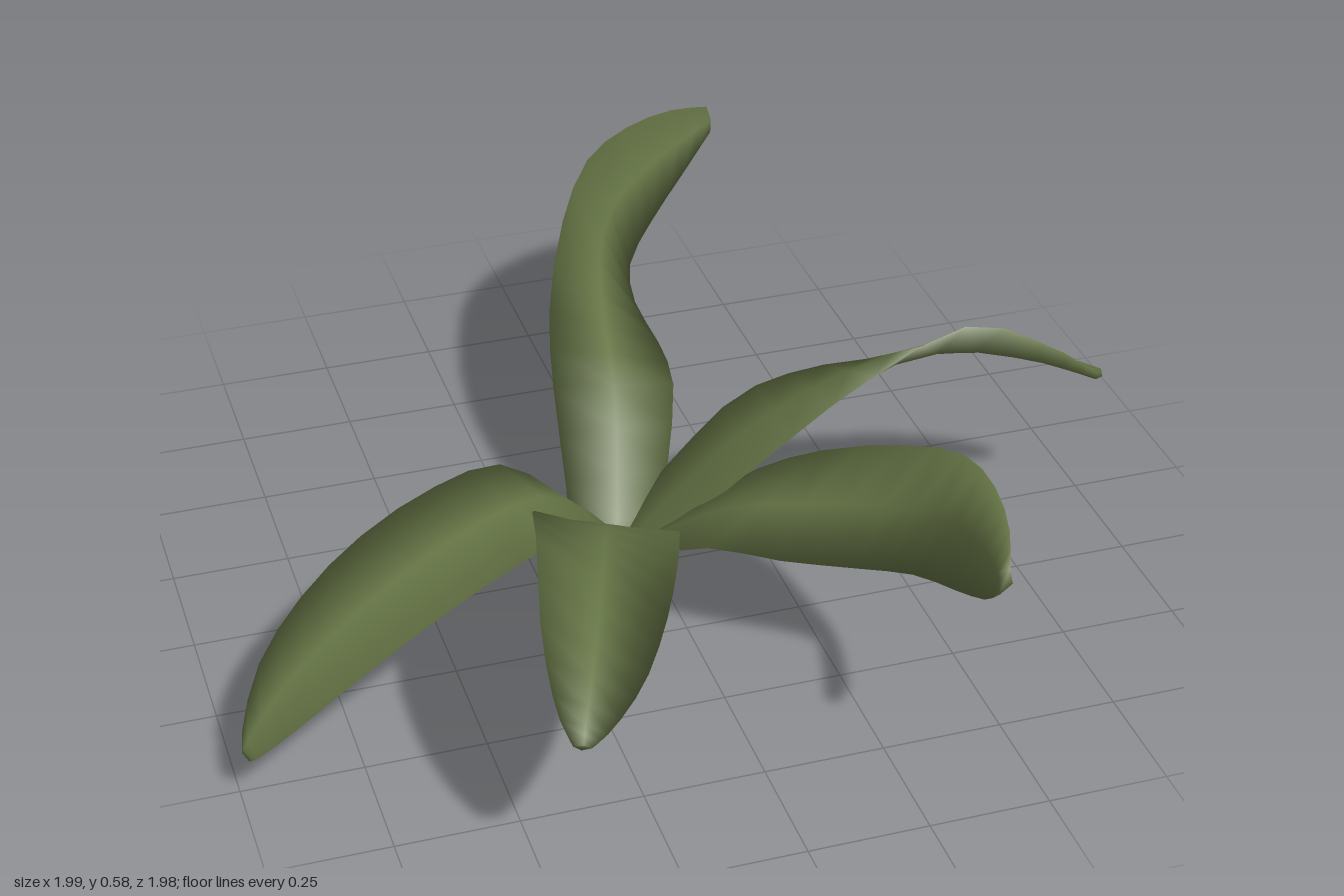
import * as THREE from 'three';

// Point where all the leaves grow from
const ROOT = new THREE.Vector3(-0.075, 0, -0.02);

// Each row holds the two leaf edges, [x, y, z, x, y, z], from root to tip
const TILTED = [
  [-0.075, 0, -0.115, -0.075, 0, 0.075],
  [0.09, 0.16, -0.14, 0.06, 0.165, 0.10],
  [0.25, 0.305, -0.138, 0.22, 0.325, 0.14],
  [0.42, 0.35, -0.125, 0.42, 0.48, 0.16],
  [0.63, 0.358, -0.09, 0.65, 0.57, 0.155],
  [0.83, 0.36, -0.035, 0.84, 0.48, 0.15],
  [0.95, 0.35, 0.03, 0.95, 0.39, 0.125],
  [0.99, 0.345, 0.065, 0.99, 0.35, 0.10],
];
const TWISTED = [
  [-0.17, 0, -0.02, 0.02, 0, -0.02],
  [-0.145, 0.13, -0.16, 0.08, 0.14, -0.14],
  [-0.125, 0.28, -0.32, 0.145, 0.25, -0.30],
  [-0.09, 0.38, -0.47, 0.16, 0.265, -0.46],
  [0, 0.49, -0.67, 0.155, 0.28, -0.62],
  [0.10, 0.56, -0.81, 0.18, 0.31, -0.74],
  [0.22, 0.58, -0.90, 0.265, 0.355, -0.845],
  [0.35, 0.577, -0.96, 0.365, 0.42, -0.925],
  [0.445, 0.56, -0.985, 0.45, 0.50, -0.97],
];
const ARCHED = [
  [-0.03, 0, 0.06, -0.12, 0, -0.10],
  [-0.10, 0.17, 0.13, -0.19, 0.16, -0.09],
  [-0.21, 0.27, 0.215, -0.32, 0.29, -0.045],
  [-0.37, 0.29, 0.315, -0.48, 0.32, 0.04],
  [-0.55, 0.28, 0.42, -0.66, 0.30, 0.14],
  [-0.74, 0.225, 0.50, -0.81, 0.255, 0.25],
  [-0.88, 0.155, 0.535, -0.92, 0.19, 0.355],
  [-0.965, 0.10, 0.535, -0.98, 0.12, 0.465],
  [-0.98, 0.09, 0.525, -0.985, 0.10, 0.49],
];

// Closed fleshy blade: each section is edge, top of midrib, edge, underside of midrib
function bladeGeometry(rows) {
  const edge = (k) => new THREE.CatmullRomCurve3(
    rows.map((r) => new THREE.Vector3(r[k], r[k + 1], r[k + 2]).sub(ROOT)));
  const a = edge(0), b = edge(3);
  const along = 16, halfThickness = 0.013, sag = 0.04;
  const position = [], index = [];
  for (let i = 0; i <= along; i++) {
    const t = i / along;
    const p = a.getPoint(t), q = b.getPoint(t);
    const chord = q.clone().sub(p);
    const tangent = a.getTangent(t).add(b.getTangent(t));
    const up = chord.clone().cross(tangent).normalize();
    const drop = sag * chord.length() * Math.min(1, 4 * t);
    const rib = p.clone().lerp(q, 0.5).addScaledVector(up, -drop);
    const top = rib.clone().addScaledVector(up, halfThickness);
    const under = rib.clone().addScaledVector(up, -halfThickness);
    for (const v of [p, top, q, under]) position.push(v.x, Math.max(0, v.y), v.z);
    if (i === along) break;
    // Underside diagonals mirror the top ones, so shading rounds evenly over the edges
    for (let k = 0; k < 4; k++) {
      const n = i * 4 + k, n1 = i * 4 + (k + 1) % 4, m = n + 4, m1 = n1 + 4;
      if (k < 2) index.push(n, n1, m, n1, m1, m);
      else index.push(n, n1, m1, n, m1, m);
    }
  }
  // Root and tip ends
  const e = along * 4;
  index.push(0, 2, 1, 0, 3, 2, e, e + 1, e + 2, e, e + 2, e + 3);
  const geometry = new THREE.BufferGeometry();
  geometry.setAttribute('position', new THREE.Float32BufferAttribute(position, 3));
  geometry.setIndex(index);
  geometry.computeVertexNormals();
  return geometry;
}

export function createModel() {
  const model = new THREE.Group();
  model.name = 'leafRosette';
  const leafGreen = new THREE.MeshStandardMaterial({ color: 0x667546 });
  leafGreen.name = 'leafGreen';

  const tilted = bladeGeometry(TILTED);
  const twisted = bladeGeometry(TWISTED);
  const arched = bladeGeometry(ARCHED);

  // Turn of each leaf about the root, in degrees
  const leaves = [
    ['leftLeaf', tilted, 0],
    ['frontRightLeaf', tilted, -104.4],
    ['backLeaf', twisted, 0],
    ['frontLeftLeaf', twisted, -126.6],
    ['rightLeaf', arched, 0],
  ];
  for (const [name, geometry, turn] of leaves) {
    const leaf = new THREE.Mesh(geometry, leafGreen);
    leaf.name = name;
    leaf.position.copy(ROOT);
    leaf.rotation.y = THREE.MathUtils.degToRad(turn);
    model.add(leaf);
  }
  return model;
}
